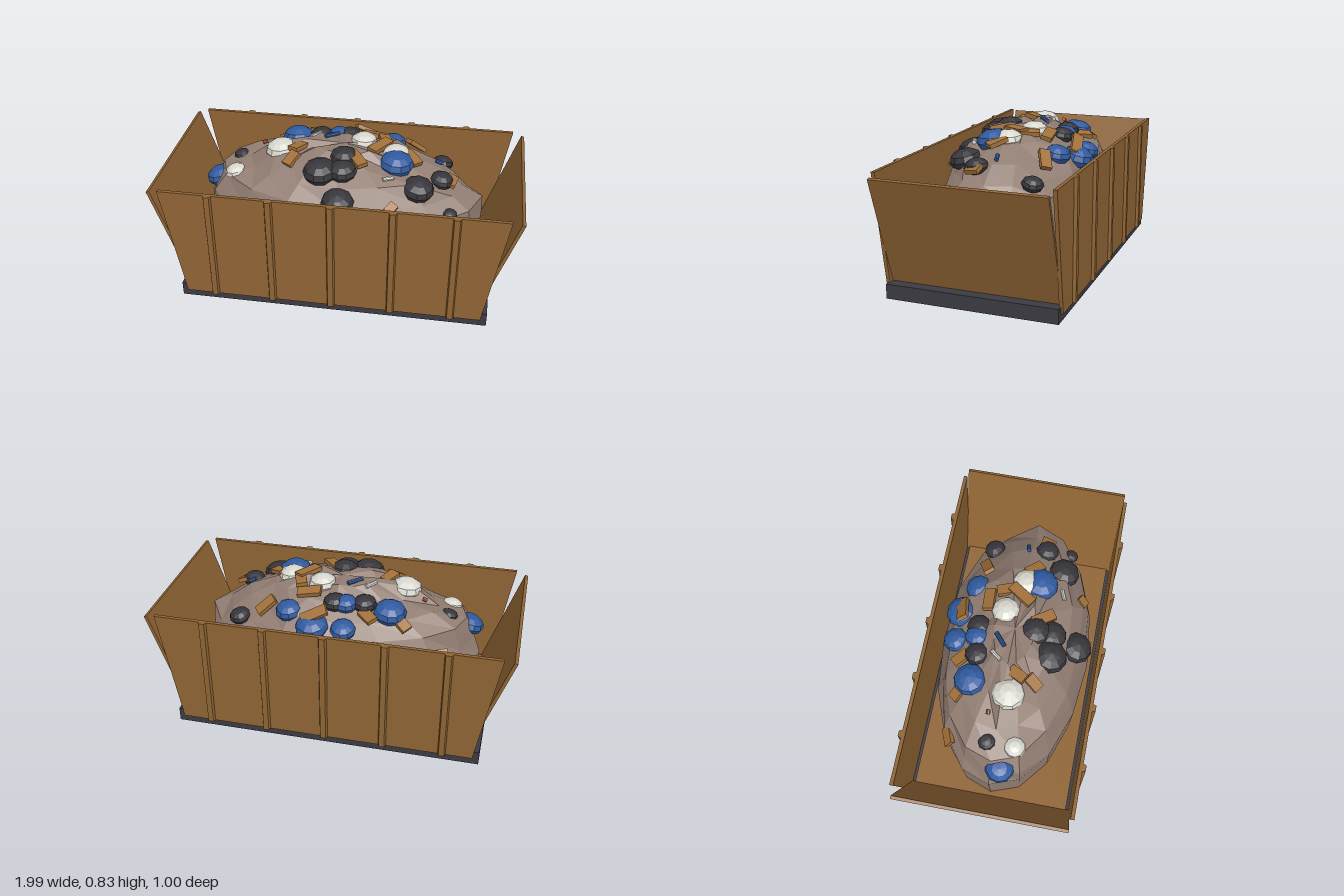
import * as THREE from 'three';

const mat = (name, color, opts = {}) => {
  const m = new THREE.MeshStandardMaterial({ color, flatShading: true, ...opts });
  m.name = name;
  return m;
};

// Heap: half ellipsoid resting on a steep skirt
const HEAP = { rx: 0.78, rz: 0.42, y: 0.42, h: 0.385 };
const heapY = (x, z) =>
  HEAP.y + HEAP.h * Math.sqrt(Math.max(0, 1 - (x / HEAP.rx) ** 2 - (z / HEAP.rz) ** 2));
const heapNormal = (x, y, z) =>
  new THREE.Vector3(x / HEAP.rx ** 2, (y - HEAP.y) / HEAP.h ** 2, z / HEAP.rz ** 2).normalize();

function seeded(seed) {
  return () => {
    seed = (seed * 16807) % 2147483647;
    return seed / 2147483647;
  };
}

export function createModel() {
  const group = new THREE.Group();
  const rand = seeded(421);
  const wood = mat('panel brown', 0x8f6434);
  const dark = mat('base charcoal', 0x3b3a42);
  const soil = mat('heap taupe', 0x917d72);
  const black = mat('bag black', 0x36353b);
  const blue = mat('bag blue', 0x2f5a9f);
  const white = mat('bag white', 0xd8d8d0);
  const plank = mat('scrap tan', 0xa2713a);
  const rust = mat('scrap rust', 0xa05a30);

  const add = (name, geo, material, x = 0, y = 0, z = 0, parent = group) => {
    const m = new THREE.Mesh(geo, material);
    m.name = name;
    m.position.set(x, y, z);
    parent.add(m);
    return m;
  };

  // Base slab and floor
  add('base', new THREE.BoxGeometry(1.71, 0.08, 0.94), dark, 0, 0.041, 0);
  add('floor', new THREE.BoxGeometry(1.58, 0.02, 0.89), wood, 0, 0.09, 0);

  // Long side walls, wider at the top, with vertical ribs
  const wall = new THREE.Shape([
    new THREE.Vector2(-0.82, 0.045), new THREE.Vector2(0.82, 0.045),
    new THREE.Vector2(0.93, 0.695), new THREE.Vector2(-0.93, 0.695),
  ]);
  const wallGeo = new THREE.ExtrudeGeometry(wall, { depth: 0.02, bevelEnabled: false });
  const rib = new THREE.Shape([
    new THREE.Vector2(-0.022, 0), new THREE.Vector2(0.022, 0),
    new THREE.Vector2(0.015, 0.018), new THREE.Vector2(-0.015, 0.018),
  ]);
  const ribGeo = new THREE.ExtrudeGeometry(rib, { depth: 0.65, bevelEnabled: false });
  ribGeo.rotateX(Math.PI / 2);
  for (const side of [1, -1]) {
    const g = new THREE.Group();
    g.name = side > 0 ? 'frontWall' : 'backWall';
    add('wallPanel', wallGeo, wood, 0, 0, 0.462, g);
    for (let i = -2; i <= 2; i++) add('rib', ribGeo, wood, i * 0.3275, 0.695, 0.481, g);
    if (side < 0) g.rotation.y = Math.PI;
    group.add(g);
  }

  // Leaning end panels
  for (const side of [1, -1]) {
    const end = add(side > 0 ? 'leftEndPanel' : 'rightEndPanel',
      new THREE.BoxGeometry(0.018, 0.627, 0.93), wood, side * 0.886, 0.38, 0);
    end.rotation.z = -side * 0.33;
  }

  // Faceted heap
  const profile = [[0.97, 0.1], [1, HEAP.y]].map(p => new THREE.Vector2(...p));
  for (let j = 1; j <= 6; j++) {
    const a = (j / 6) * Math.PI / 2;
    profile.push(new THREE.Vector2(j === 6 ? 0 : Math.cos(a), HEAP.y + HEAP.h * Math.sin(a)));
  }
  const heapGeo = new THREE.LatheGeometry(profile, 16);
  const pos = heapGeo.attributes.position;
  const n = profile.length;
  const bump = Array.from({ length: 16 * n }, () => rand() - 0.5);
  for (let i = 0; i < pos.count; i++) {
    const j = i % n, b = bump[i % (16 * n)];
    const inner = j > 1 && j < n - 1;
    const k = inner ? 1 + b * 0.08 : 1;
    pos.setXYZ(i, pos.getX(i) * HEAP.rx * k, pos.getY(i) + (inner ? b * 0.045 : 0),
      pos.getZ(i) * HEAP.rz * k);
  }
  heapGeo.computeVertexNormals();
  add('heap', heapGeo, soil);

  // Place an item on the heap, leaning with its slope
  const up = new THREE.Vector3(0, 1, 0);
  const settle = (mesh, x, z, lift, spin, lean) => {
    const y = heapY(x, z);
    mesh.position.set(x, y + lift, z);
    const normal = heapNormal(x, y, z).lerp(up, 1 - lean).normalize();
    mesh.quaternion.setFromUnitVectors(up, normal);
    mesh.rotateY(spin);
  };

  // Squashed bags: x, z, radius
  const bagGeo = new THREE.SphereGeometry(1, 10, 6);
  const bags = [
    [blue, [[-0.3, -0.19, 0.09], [-0.07, -0.32, 0.07], [0.1, -0.32, 0.09], [0.245, -0.25, 0.075],
      [-0.06, -0.2, 0.065], [0.3, 0.09, 0.095], [-0.71, 0.05, 0.08]]],
    [black, [[-0.16, -0.18, 0.065], [0, -0.2, 0.065], [0.54, -0.22, 0.06], [-0.6, -0.04, 0.05],
      [0.015, 0.11, 0.08], [-0.1, 0.21, 0.095], [0.02, 0.2, 0.08], [0.015, 0.34, 0.09],
      [0.43, 0.2, 0.088], [0.55, 0.085, 0.065], [0.61, 0.22, 0.04]]],
    [white, [[-0.35, 0.03, 0.09], [0.1, -0.07, 0.077], [0.29, 0.01, 0.08], [-0.6, 0.11, 0.06]]],
  ];
  for (const [material, list] of bags) {
    for (const [x, z, r] of list) {
      const bag = add('bag', bagGeo, material);
      bag.scale.set(r, r * 0.66, r);
      settle(bag, x, z, -0.012, rand() * 6, 0.35);
    }
  }

  // Board scraps: x, z, length, spin
  const boards = [
    [0.15, -0.17, 0.13, 0.1], [0.2, 0, 0.15, 1], [0.38, -0.23, 0.12, 0.6], [-0.25, 0.06, 0.1, 1.1],
    [0.09, 0.14, 0.13, 2.2], [-0.27, 0.15, 0.09, 1], [-0.37, -0.24, 0.1, 2.5], [-0.58, -0.26, 0.1, 0.5],
    [0.38, 0.04, 0.11, 2.4], [0.09, -0.31, 0.15, 0.4], [0.3, 0.33, 0.05, 2.6], [0.6, 0.08, 0.08, 1.4],
    [-0.19, -0.26, 0.1, 2.4], [0.22, -0.08, 0.12, 1.9],
  ];
  boards.forEach(([x, z, len, spin], i) => {
    const board = add('boardScrap', new THREE.BoxGeometry(len, 0.025, 0.06), plank);
    settle(board, x, z, i === 9 ? 0.045 : 0.012, spin, 0.7);
    board.rotateZ((rand() - 0.5) * 0.6);
  });

  // Small rods and pellets
  const rods = [
    [white, -0.17, -0.07, 0.07, 0.9], [white, 0.27, 0.22, 0.06, 0.4], [blue, -0.08, -0.065, 0.09, 0.7],
    [blue, 0.525, -0.02, 0.04, 0.2], [rust, -0.465, -0.055, 0.025, 0],
  ];
  for (const [material, x, z, len, spin] of rods) {
    const rod = add('rodScrap', new THREE.CylinderGeometry(0.012, 0.012, len, 8).rotateZ(Math.PI / 2), material);
    settle(rod, x, z, 0.015, spin, 1);
  }
  return group;
}
